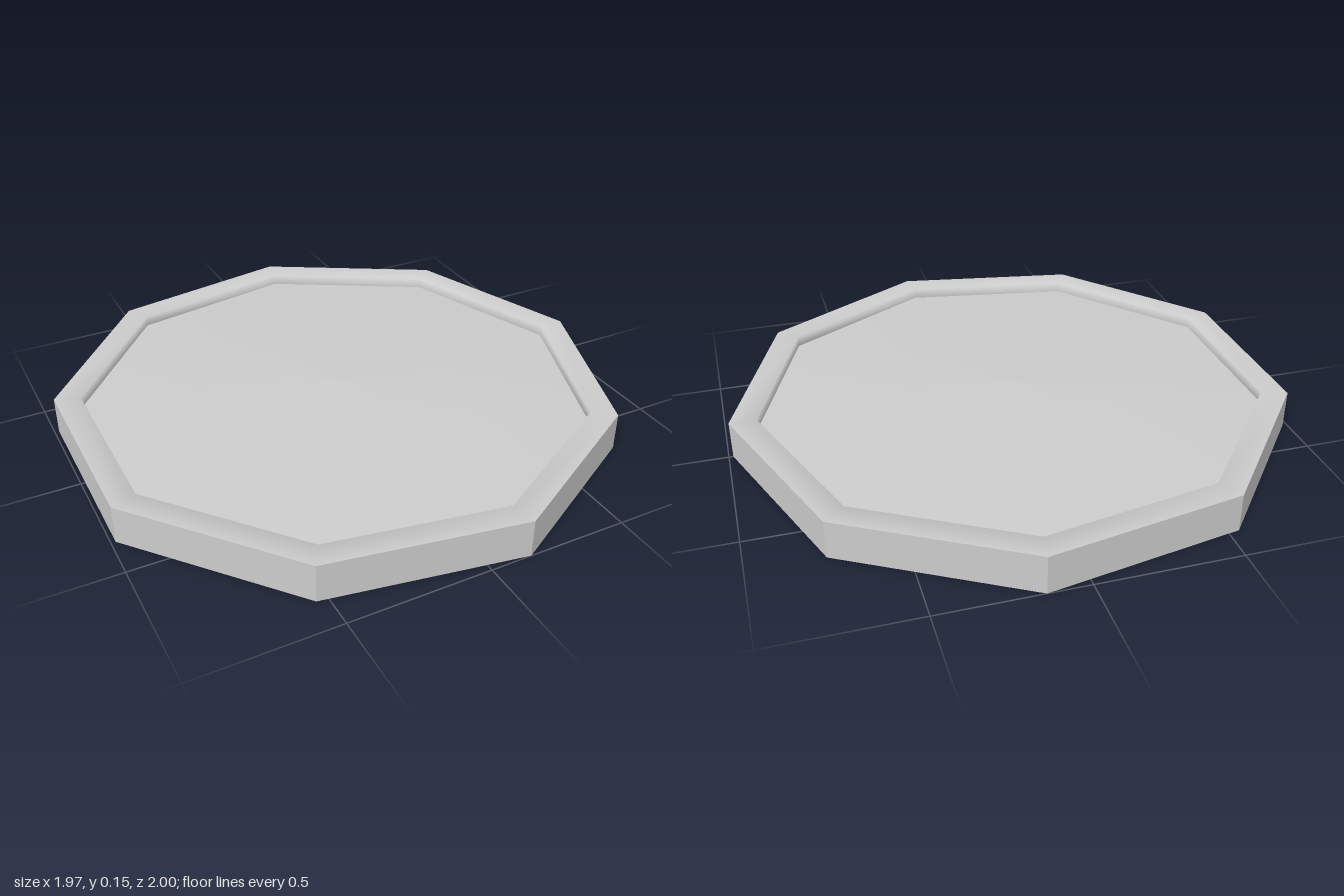
import * as THREE from 'three';

const SIDES = 9;
const OUTER = 1.0154;   // corner radius of the outline
const INNER = 0.92;     // corner radius of the recess
const TOP = 0.137;      // rim height
const FLOOR = 0.097;    // recess height at its edge
const CENTRE_X = -0.0306; // a nonagon's bounding box is off its own centre

// Nine-sided lathe with one corner pointing to +x
function nonagon(name, profile, flatShading) {
  const points = profile.map(([r, y]) => new THREE.Vector2(r, y));
  const geometry = new THREE.LatheGeometry(points, SIDES, Math.PI / 2);
  const material = new THREE.MeshStandardMaterial({ color: 0xcccccc, flatShading });
  const mesh = new THREE.Mesh(geometry, material);
  mesh.name = name;
  mesh.position.x = CENTRE_X;
  return mesh;
}

export function createModel() {
  const group = new THREE.Group();
  group.name = 'nonagonalPlate';

  // Underside and faceted outer wall
  group.add(nonagon('base', [[0, 0], [OUTER, 0], [OUTER, TOP]], true));

  // Rim rolling softly into the short inner wall
  group.add(nonagon('rim', [[OUTER, TOP], [INNER, TOP], [INNER, FLOOR]], false));

  // Recessed floor rising to a low point in the middle
  group.add(nonagon('raisedFloor', [[INNER, FLOOR], [0.16, 0.138], [0.05, 0.146], [0, 0.148]], false));

  return group;
}
